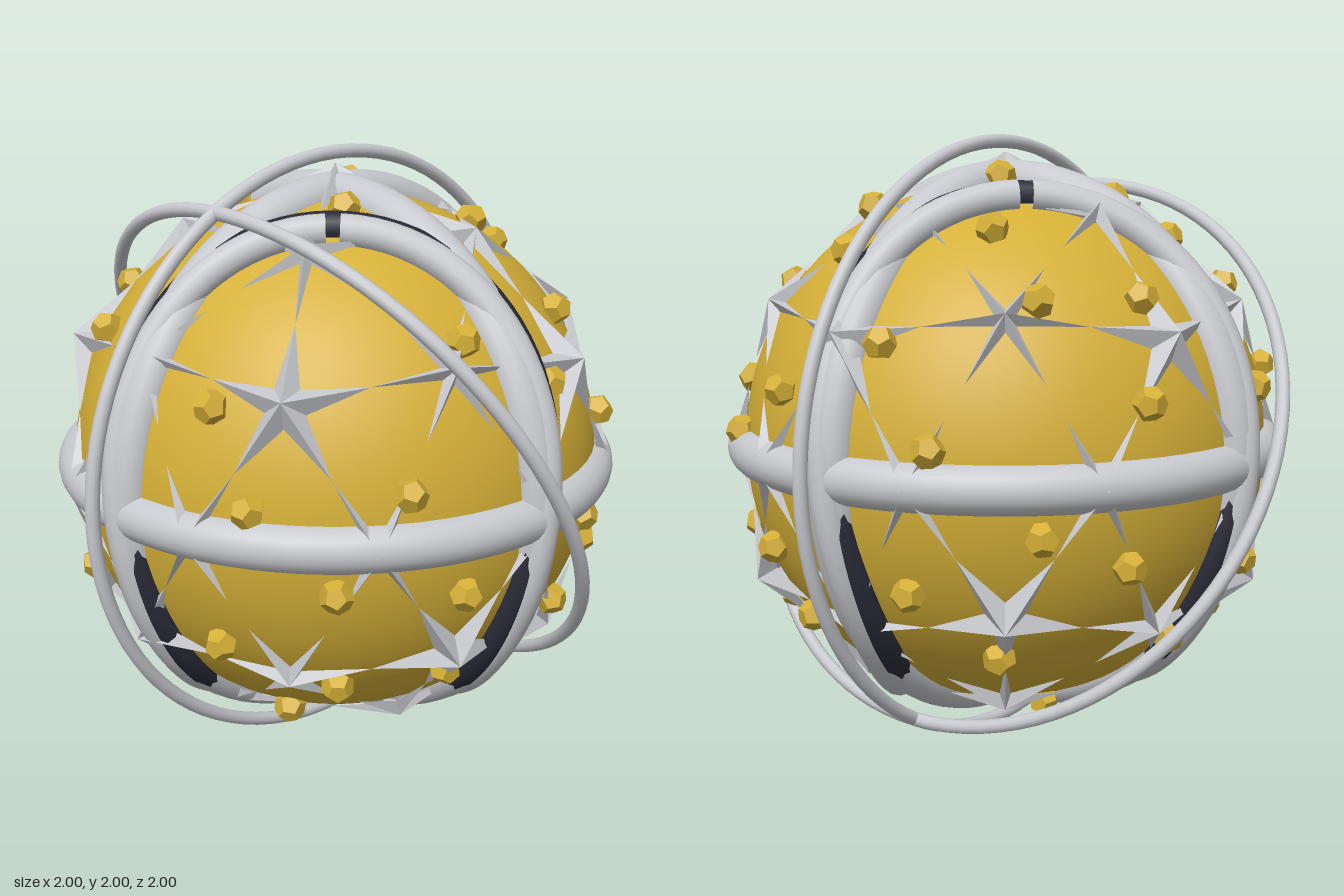
import * as THREE from 'three';

const V = (x, y, z) => new THREE.Vector3(x, y, z);
const CORE = 0.86;

// Icosahedron corners with one on each pole, followed by the middles of its edges
function geodesicPoints() {
  const corners = [V(0, 1, 0), V(0, -1, 0)];
  const h = 1 / Math.sqrt(5);
  for (let i = 0; i < 5; i++) {
    for (const s of [1, -1]) {
      const a = (i * 72 + (s < 0 ? 36 : 0)) * Math.PI / 180;
      corners.push(V(2 * h * Math.cos(a), s * h, 2 * h * Math.sin(a)));
    }
  }
  const mids = [];
  corners.forEach((p, i) => corners.slice(i + 1).forEach((q) => {
    if (p.dot(q) > 0.4) mids.push(p.clone().add(q).normalize());
  }));
  return { corners, mids };
}

// Raised star whose thin rays point at the neighbouring stars
function starPositions(n, isCorner, all, corners) {
  const u = V(0.31, 0.2, 0.93).cross(n).normalize();
  const v = n.clone().cross(u);
  const rays = all
    .filter((p) => p !== n && p.dot(n) > Math.cos(0.66))
    .map((p) => ({ p, angle: Math.atan2(p.dot(v), p.dot(u)) }))
    .sort((a, b) => a.angle - b.angle);
  const tip = n.clone().multiplyScalar(isCorner ? 0.945 : 0.92);
  const valleyR = isCorner ? 0.062 : 0.036;
  const ends = rays.map(({ p }) => {
    const reach = isCorner || corners.includes(p) ? 0.5 : 0.4;
    return n.clone().lerp(p, reach).normalize().multiplyScalar(CORE + 0.008);
  });
  const valleys = rays.map(({ angle }, i) => {
    let next = rays[(i + 1) % rays.length].angle;
    if (next < angle) next += Math.PI * 2;
    const a = (angle + next) / 2;
    return n.clone().multiplyScalar(CORE + 0.012)
      .addScaledVector(u, valleyR * Math.cos(a))
      .addScaledVector(v, valleyR * Math.sin(a));
  });
  const out = [];
  ends.forEach((e, i) => {
    const before = valleys[(i + valleys.length - 1) % valleys.length];
    for (const p of [tip, before, e, tip, e, valleys[i]]) out.push(p.x, p.y, p.z);
  });
  return out;
}

// Wavy closed seam that crosses the equator four times
class SeamCurve extends THREE.Curve {
  constructor(radius, b, rise, from, to) {
    super();
    Object.assign(this, { radius, b, rise, from, to });
  }
  getPoint(s, target = new THREE.Vector3()) {
    const t = this.from + (this.to - this.from) * s;
    const a = 1 - this.b;
    return target.set(
      -(a * Math.sin(t) - this.b * Math.sin(3 * t)),
      this.rise * Math.sin(2 * t),
      a * Math.cos(t) + this.b * Math.cos(3 * t),
    ).normalize().multiplyScalar(this.radius);
  }
}

export function createModel() {
  const model = new THREE.Group();
  model.name = 'ornateBall';
  const ball = new THREE.Group();
  ball.name = 'ball';
  ball.position.y = 1;
  model.add(ball);

  const material = (name, color, extra = {}) => {
    const m = new THREE.MeshStandardMaterial({ color, ...extra });
    m.name = name;
    return m;
  };
  const gold = material('gold', 0xd4af37);
  const facetGold = gold.clone();
  facetGold.flatShading = true;
  const silver = material('silver', 0xc8c9ce, { side: THREE.DoubleSide });
  const facetSilver = silver.clone();
  facetSilver.flatShading = true;
  const dark = material('dark', 0x2b2b38);

  const add = (name, geometry, mat) => {
    const mesh = new THREE.Mesh(geometry, mat);
    mesh.name = name;
    ball.add(mesh);
    return mesh;
  };

  add('core', new THREE.SphereGeometry(CORE, 64, 40), gold);

  // Three thick bands at right angles
  const band = () => new THREE.TorusGeometry(0.846, 0.073, 20, 96);
  add('frontBand', band(), silver);
  add('sideBand', band().rotateY(Math.PI / 2), silver);
  add('equatorBand', band().rotateX(Math.PI / 2), silver);

  // Two slim outer hoops, one tilted
  const hoop = () => new THREE.TorusGeometry(0.978, 0.022, 12, 96);
  add('outerHoop', hoop(), silver);
  add('tiltedHoop', hoop().rotateY(Math.PI / 2).rotateZ(Math.PI / 6), silver);

  // Seam in four lengths with small gaps at the crests, over a dark lining
  for (let i = 0; i < 4; i++) {
    const mid = i * Math.PI / 2;
    const half = Math.PI / 4 - 0.015;
    const path = new SeamCurve(0.88, 0.295, 0.9, mid - half, mid + half);
    add('seamLength', new THREE.TubeGeometry(path, 48, 0.05, 14, false), silver);
  }
  const liningPath = new SeamCurve(0.862, 0.33, 0.85, 0, Math.PI * 2);
  add('seamLining', new THREE.TubeGeometry(liningPath, 200, 0.05, 10, true), dark);

  // Network of stars
  const { corners, mids } = geodesicPoints();
  const all = [...corners, ...mids];
  for (const [name, list] of [['largeStars', corners], ['smallStars', mids]]) {
    const positions = list.flatMap((n) => starPositions(n, list === corners, all, corners));
    const g = new THREE.BufferGeometry();
    g.setAttribute('position', new THREE.Float32BufferAttribute(positions, 3));
    g.computeVertexNormals();
    add(name, g, facetSilver);
  }

  // Faceted studs: two coordinates each, the third follows from the sphere
  const depth = (a, b) => Math.sqrt(Math.max(0, 0.8 - a * a - b * b));
  const frontStuds = [
    [-0.15, 0.86], [0.31, 0.78], [0.59, 0.65], [0.37, 0.53], [-0.16, 0.54], [0.12, 0.38],
    [-0.76, 0.38], [0.83, 0.24], [0.46, 0.2], [-0.44, 0.16], [-0.77, 0.11], [0.72, 0.07],
    [0.25, -0.07], [-0.61, -0.14], [-0.27, -0.18], [0.52, -0.29], [0.79, -0.27], [0.22, -0.38],
    [-0.76, -0.37], [-0.22, -0.49], [0.5, -0.52], [-0.5, -0.52], [-0.46, -0.72], [0.7, -0.5],
  ].map(([x, y]) => V(x, y, depth(x, y)));
  const backLeftStuds = [
    [-0.13, 0.4], [-0.28, 0.72], [-0.5, 0.52], [-0.68, 0.52], [-0.33, 0.11], [-0.78, 0.23],
    [-0.23, -0.33], [-0.6, -0.14], [-0.75, -0.25], [-0.4, -0.55], [-0.7, -0.55],
  ].map(([z, y]) => V(depth(z, y), y, z));
  const backTopStuds = [
    [-0.16, -0.85], [-0.48, -0.71], [-0.37, -0.62], [-0.08, -0.57], [-0.68, -0.33],
    [-0.06, -0.38], [0.15, -0.09],
  ].map(([x, z]) => V(x, depth(x, z), z));
  const lowBackStuds = [
    [-0.2, -0.8], [-0.52, -0.68], [-0.35, -0.6], [-0.78, -0.32], [-0.6, -0.3],
    [-0.2, -0.45], [-0.15, -0.12], [0.15, 0.14], [0.2, -0.3],
  ].map(([x, z]) => V(x, -depth(x, z), z));
  const studShape = new THREE.DodecahedronGeometry(0.052);
  for (const p of [...frontStuds, ...backLeftStuds, ...backTopStuds, ...lowBackStuds]) {
    const stud = add('stud', studShape, facetGold);
    p.setLength(0.88);
    stud.position.copy(p);
    stud.quaternion.setFromUnitVectors(V(0, 0.526, 0.851).normalize(), p.clone().normalize());
  }
  return model;
}
